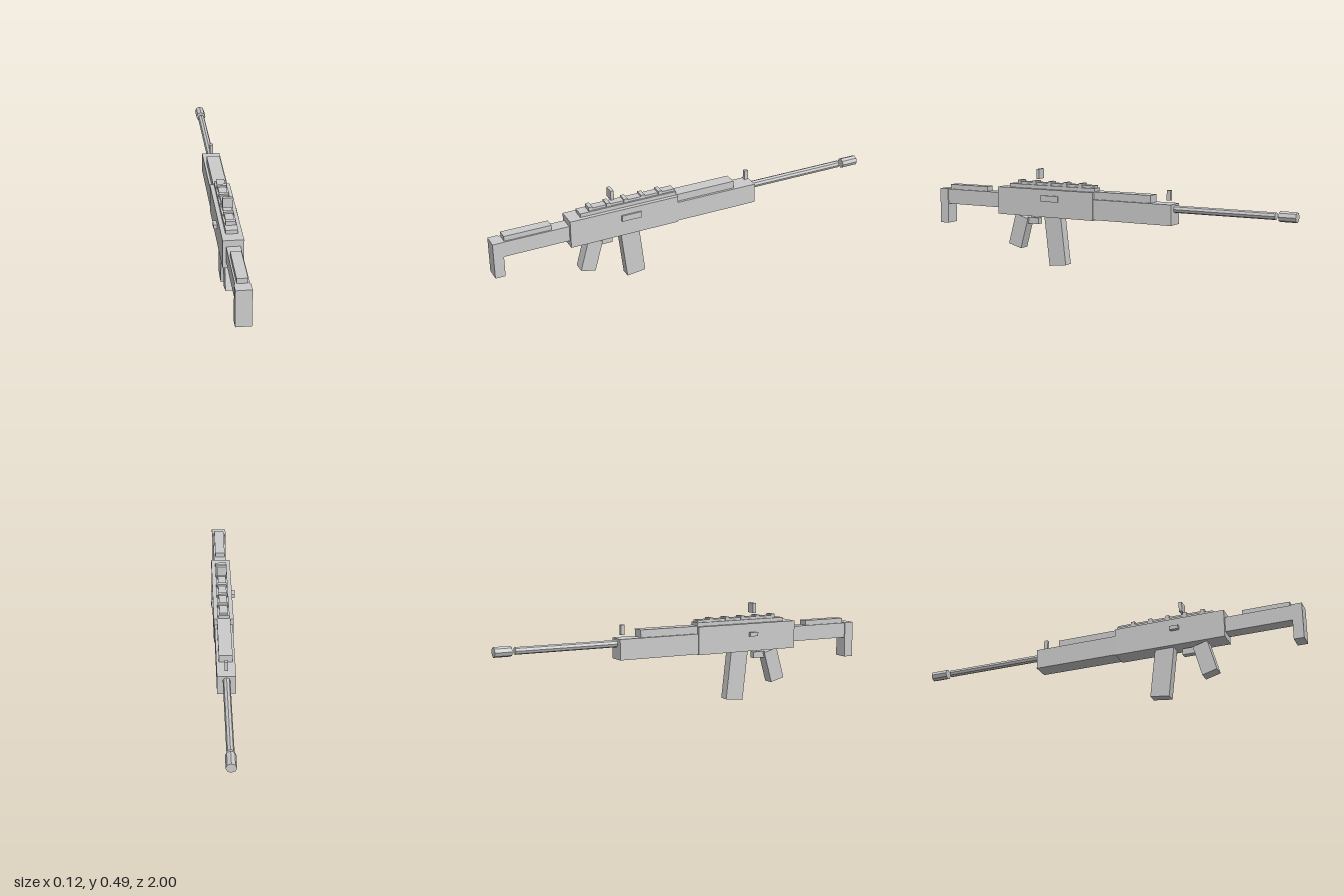
import * as THREE from 'three';

export function createModel() {
  const model = new THREE.Group();
  const material = new THREE.MeshStandardMaterial({ color: 0xcccccc, flatShading: true });
  const CX = 0.004; // centreline of the body

  function add(name, geometry, x, y, z, tilt = 0) {
    const mesh = new THREE.Mesh(geometry, material);
    mesh.name = name;
    mesh.position.set(x, y, z);
    mesh.rotation.x = tilt;
    model.add(mesh);
    return mesh;
  }

  // Box from its width and its y and z ranges
  function block(name, width, y0, y1, z0, z1, x = CX) {
    return add(name, new THREE.BoxGeometry(width, y1 - y0, z1 - z0), x, (y0 + y1) / 2, (z0 + z1) / 2);
  }

  // Box leaning about the x axis
  function leaning(name, width, height, depth, y, z, tilt) {
    return add(name, new THREE.BoxGeometry(width, height, depth), CX, y, z, tilt);
  }

  // Eight-sided rod along z
  function rod(name, radius, z0, z1) {
    const geometry = new THREE.CylinderGeometry(radius, radius, z1 - z0, 8).rotateX(Math.PI / 2);
    return add(name, geometry, CX, 0.335, (z0 + z1) / 2);
  }

  // Main body
  block('receiver', 0.098, 0.254, 0.395, 0.055, 0.62);
  block('handguard', 0.09, 0.258, 0.36, -0.376, 0.055);
  block('handguardCover', 0.066, 0.36, 0.398, -0.26, 0.056);

  // Shoulder stock
  block('stock', 0.066, 0.285, 0.363, 0.62, 0.95);
  block('buttPlate', 0.075, 0.182, 0.365, 0.95, 1);
  block('cheekRest', 0.05, 0.363, 0.388, 0.705, 0.94);

  // Top rail with cross ridges
  block('railBase', 0.058, 0.395, 0.414, 0.056, 0.56);
  block('rail', 0.04, 0.414, 0.426, 0.062, 0.512);
  for (let i = 0; i < 5; i++) {
    const z = 0.14 + i * 0.091;
    block('railRidge', 0.047, 0.414, 0.434, z - 0.01, z + 0.01);
  }

  // Sights
  block('rearSight', 0.05, 0.445, 0.495, 0.384, 0.4);
  block('frontSight', 0.016, 0.376, 0.425, -0.355, -0.335);

  // Barrel and muzzle
  rod('barrel', 0.018, -0.896, -0.37);
  rod('muzzle', 0.025, -1, -0.915);

  // Magazine, grip and trigger
  leaning('magazine', 0.05, 0.27, 0.097, 0.14, 0.291, 0.117);
  leaning('grip', 0.059, 0.163, 0.077, 0.168, 0.51, -0.27);
  block('triggerGuard', 0.03, 0.21, 0.242, 0.394, 0.462);

  // Side details
  block('ejectionPort', 0.012, 0.334, 0.365, 0.255, 0.357, 0.055);
  block('boltHandle', 0.022, 0.331, 0.351, 0.345, 0.39, -0.051);

  return model;
}
